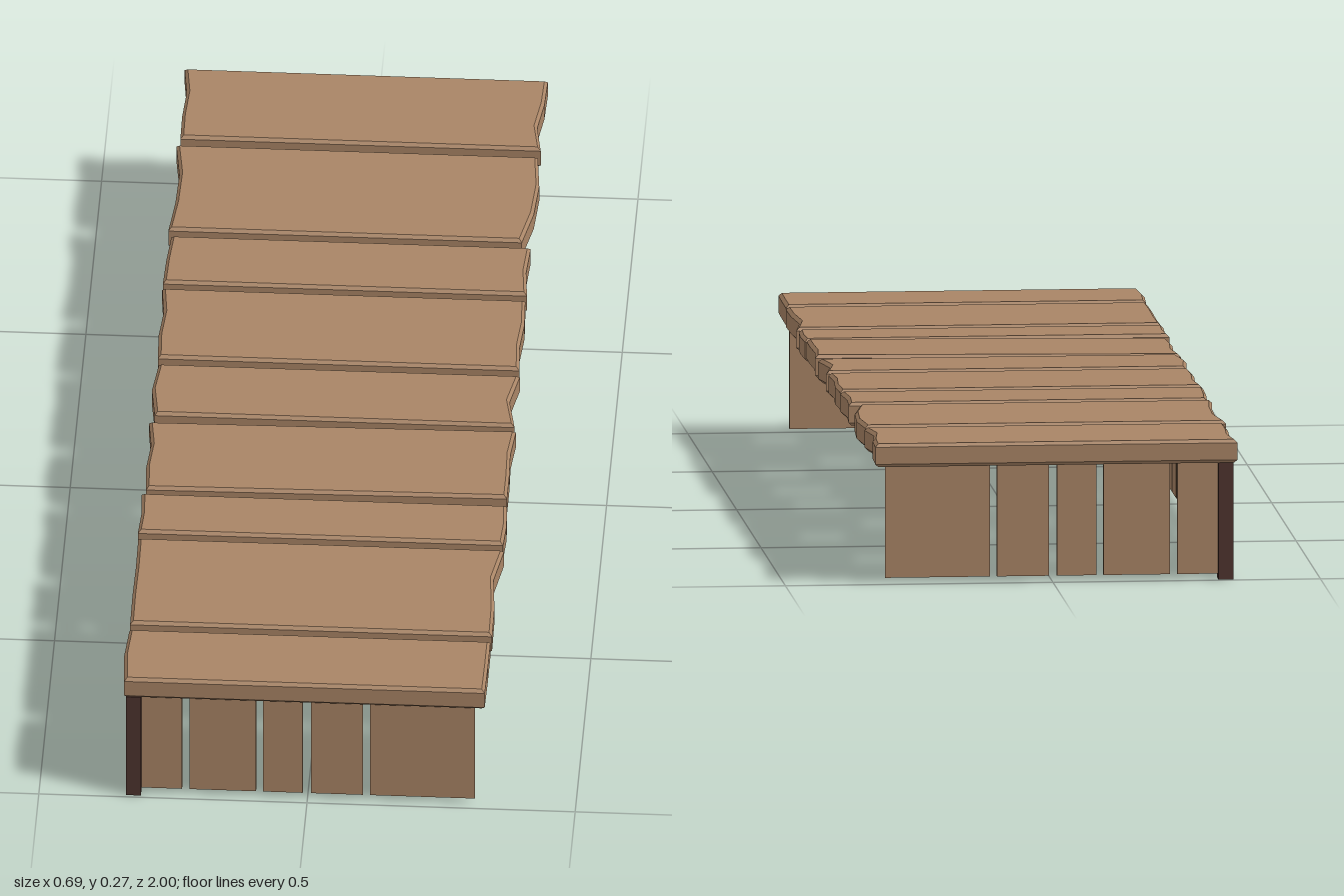
import * as THREE from 'three';

const wood = new THREE.MeshStandardMaterial({ color: 0xa98566, flatShading: true });
const darkWood = new THREE.MeshStandardMaterial({ color: 0x4e342e, flatShading: true });

const UNDERSIDE = 0.22, THICK = 0.044, BEVEL = 0.006;

// Deck planks: z start, z end, then x of the worn left-hand and right-hand ends from back to front
const planks = [
  [-1.0, -0.775, [-0.345, -0.337, -0.341, -0.34], [0.332, 0.33, 0.321, 0.332]],
  [-0.751, -0.475, [-0.346, -0.335, -0.337, -0.345], [0.328, 0.336, 0.331, 0.314]],
  [-0.455, -0.302, [-0.338, -0.343, -0.345], [0.332, 0.328, 0.334]],
  [-0.283, -0.058, [-0.345, -0.338, -0.343, -0.34], [0.332, 0.335, 0.33, 0.334]],
  [-0.037, 0.127, [-0.337, -0.345, -0.335], [0.336, 0.322, 0.336]],
  [0.148, 0.365, [-0.344, -0.336, -0.341, -0.337], [0.34, 0.334, 0.336, 0.336]],
  [0.386, 0.512, [-0.344, -0.341, -0.344], [0.337, 0.34, 0.337]],
  [0.532, 0.81, [-0.342, -0.341, -0.342, -0.341], [0.34, 0.326, 0.333, 0.334]],
  [0.83, 0.995, [-0.341, -0.346, -0.341], [0.332, 0.332, 0.331]],
];

// Upright board extents along each wall
const endBoards = [[-0.312, -0.234], [-0.22, -0.096], [-0.083, -0.009], [0.006, 0.103], [0.116, 0.312]];
const sideBoards = [
  [0.866, 0.968], [0.71, 0.855], [0.625, 0.7], [0.5, 0.614], [0.402, 0.49], [0.255, 0.397],
  [0.088, 0.244], [0.008, 0.078], [-0.115, -0.003], [-0.265, -0.126], [-0.362, -0.279],
  [-0.442, -0.375], [-0.592, -0.453], [-0.732, -0.603], [-0.823, -0.743], [-0.966, -0.831],
];

function box(name, size, position, material) {
  const mesh = new THREE.Mesh(new THREE.BoxGeometry(...size), material);
  mesh.name = name;
  mesh.position.set(...position);
  return mesh;
}

// Chamfered plank cut from a wavy-ended outline
function plank([z0, z1, leftEnd, rightEnd]) {
  const along = (xs) => xs.map((x, i) =>
    new THREE.Vector2(x, -THREE.MathUtils.lerp(z0, z1, i / (xs.length - 1))));
  const outline = new THREE.Shape([...along(leftEnd), ...along(rightEnd).reverse()]);
  const geometry = new THREE.ExtrudeGeometry(outline, {
    depth: THICK - 2 * BEVEL,
    bevelThickness: BEVEL, bevelSize: BEVEL, bevelOffset: -BEVEL, bevelSegments: 1,
  });
  geometry.rotateX(-Math.PI / 2);
  const mesh = new THREE.Mesh(geometry, wood);
  mesh.name = 'deckPlank';
  mesh.position.y = UNDERSIDE + BEVEL;
  return mesh;
}

export function createModel() {
  const model = new THREE.Group();
  model.name = 'boardwalk';

  // Deck, with one plank slightly lifted at its free end
  const deck = new THREE.Group();
  deck.name = 'deck';
  planks.forEach((p, i) => {
    const mesh = plank(p);
    if (i === 5) mesh.rotation.z = 0.01;
    deck.add(mesh);
  });
  model.add(deck);

  // Upright cladding on both ends and one long side
  const height = UNDERSIDE - 0.01, midY = 0.01 + height / 2;
  for (const [name, z] of [['frontWall', 0.978], ['backWall', -0.978]]) {
    const wall = new THREE.Group();
    wall.name = name;
    for (const [a, b] of endBoards)
      wall.add(box('wallBoard', [b - a, height, 0.008], [(a + b) / 2, midY, z], wood));
    model.add(wall);
  }
  const sideWall = new THREE.Group();
  sideWall.name = 'sideWall';
  for (const [a, b] of sideBoards)
    sideWall.add(box('wallBoard', [0.008, height, b - a], [-0.326, midY, (a + b) / 2], wood));
  model.add(sideWall);

  // Corner posts where the walls meet
  for (const z of [0.98, -0.98])
    model.add(box('cornerPost', [0.028, UNDERSIDE + 0.002, 0.028],
      [-0.324, (UNDERSIDE + 0.002) / 2, z], darkWood));

  return model;
}
